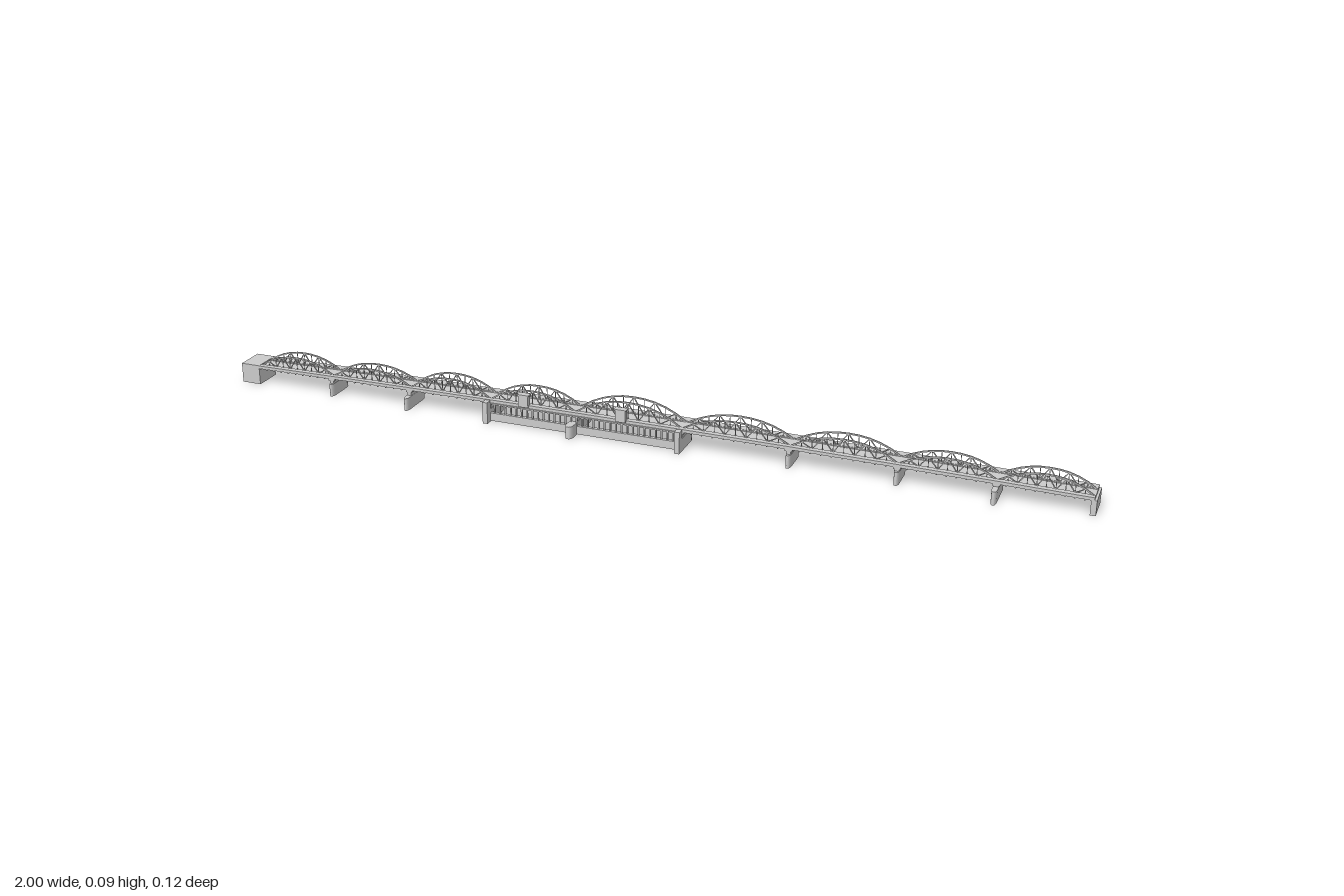
import * as THREE from 'three';
import { mergeGeometries } from 'three/addons/utils/BufferGeometryUtils.js';

const mat = new THREE.MeshStandardMaterial({ color: 0xcccccc, flatShading: true });
const Z_BACK = -0.038, Z_FRONT = 0.03, TRUSS_Z = 0.0175;

// deck surface: slightly humped, lower at the +x end
const deckY = x => 0.049 - 0.003 * x - 0.008 * x * x;

function add(parent, geo, name) {
  const m = new THREE.Mesh(geo, mat);
  m.name = name;
  parent.add(m);
  return m;
}

function box(x0, x1, y0, y1, z0, z1) {
  return new THREE.BoxGeometry(x1 - x0, y1 - y0, z1 - z0)
    .translate((x0 + x1) / 2, (y0 + y1) / 2, (z0 + z1) / 2);
}

// bar between two points in a plane of constant z
function bar(x0, y0, x1, y1, z, t, w = t) {
  return new THREE.BoxGeometry(Math.hypot(x1 - x0, y1 - y0) + t * 0.5, t, w)
    .rotateZ(Math.atan2(y1 - y0, x1 - x0))
    .translate((x0 + x1) / 2, (y0 + y1) / 2, z);
}

// box following the deck line between two x positions
function slab(x0, x1, top, bottom, z0, z1) {
  const g = new THREE.BoxGeometry(x1 - x0, 1, z1 - z0).translate((x0 + x1) / 2, 0, (z0 + z1) / 2);
  const p = g.attributes.position;
  for (let i = 0; i < p.count; i++) p.setY(i, deckY(p.getX(i)) + (p.getY(i) > 0 ? top : bottom));
  g.computeVertexNormals();
  return g;
}

// wall with rounded noses, extruded upwards from the water
function pierWall(x, w, z0, z1, y1) {
  const r = w / 2, s = new THREE.Shape(), nose = 0.012;
  s.moveTo(-r, -z1 + nose);
  s.lineTo(-r, -z0 - nose);
  s.quadraticCurveTo(-r * 0.8, -z0, 0, -z0);
  s.quadraticCurveTo(r * 0.8, -z0, r, -z0 - nose);
  s.lineTo(r, -z1 + nose);
  s.quadraticCurveTo(r * 0.8, -z1, 0, -z1);
  s.quadraticCurveTo(-r * 0.8, -z1, -r, -z1 + nose);
  return new THREE.ExtrudeGeometry(s, { depth: y1, bevelEnabled: false, curveSegments: 6 })
    .rotateX(-Math.PI / 2).translate(x, 0, 0);
}

// one bowed truss: curved upper chord, lower chord, posts and zigzag diagonals
function trussGeometry(x0, x1, crown, z) {
  const n = 10, parts = [], pts = [];
  for (let i = 0; i <= n; i++) {
    const t = i / n, x = x0 + (x1 - x0) * t, u = Math.abs(2 * t - 1);
    const base = deckY(x);
    pts.push({ x, lo: base, hi: base + (crown - base - 0.0015) * (1 - Math.pow(u, 2.2)) });
  }
  for (let i = 0; i < n; i++) {
    const a = pts[i], b = pts[i + 1];
    parts.push(bar(a.x, a.hi, b.x, b.hi, z, 0.003, 0.0035));
    parts.push(bar(a.x, a.lo, b.x, b.lo, z, 0.003, 0.0035));
    if (i > 0) parts.push(bar(a.x, a.lo, a.x, a.hi, z, 0.0014));
    if (i > 0 && i < n - 1) {
      parts.push(i % 2 ? bar(a.x, a.hi, b.x, b.lo, z, 0.002) : bar(a.x, a.lo, b.x, b.hi, z, 0.002));
    }
  }
  return mergeGeometries(parts);
}

export function createModel() {
  const model = new THREE.Group();
  model.name = 'bridge';
  const ends = [-0.953, -0.757, -0.553, -0.35, -0.142, 0.11, 0.355, 0.59, 0.797, 0.995];
  const crowns = [0.077, 0.077, 0.083, 0.083, 0.09, 0.082, 0.08, 0.073, 0.071];

  // spans
  crowns.forEach((crown, i) => {
    const x0 = ends[i], x1 = ends[i + 1], span = new THREE.Group();
    span.name = 'span' + (i + 1);
    model.add(span);
    add(span, slab(x0, x1, 0, -0.004, Z_BACK, Z_FRONT), 'deck');
    const girders = [-TRUSS_Z, -0.006, 0.006, TRUSS_Z]
      .map(z => slab(x0, x1, -0.003, -0.009, z - 0.0012, z + 0.0012));
    for (let k = 0; k <= 10; k++) {
      const x = Math.min(Math.max(x0 + (x1 - x0) * k / 10, x0 + 0.001), x1 - 0.001);
      girders.push(box(x - 0.001, x + 0.001, deckY(x) - 0.008, deckY(x) - 0.003, Z_BACK + 0.001, Z_FRONT - 0.001));
    }
    add(span, mergeGeometries(girders), 'floorBeams');
    add(span, slab(x0, x1, 0.002, -0.005, Z_BACK, -TRUSS_Z - 0.002), 'backFootway');
    add(span, slab(x0, x1, 0.002, -0.005, TRUSS_Z + 0.002, Z_FRONT), 'frontFootway');
    for (const s of [-1, 1]) {
      add(span, trussGeometry(x0 + 0.002, x1 - 0.002, crown, s * TRUSS_Z), s > 0 ? 'frontTruss' : 'backTruss');
    }
  });

  // piers: x, front nose z, back nose z, height of the projecting nose
  const piers = [
    [-0.757, 0.036, -0.04, 0.03], [-0.553, 0.05, -0.04, 0.03],
    [-0.35, 0.05, -0.04, 0.03], [-0.142, 0.063, -0.062, 0.029],
    [0.11, 0.05, -0.04, 0.03], [0.355, 0.036, -0.04, 0.03],
    [0.59, 0.036, -0.04, 0.03], [0.797, 0.056, -0.04, 0.03],
  ];
  for (const [x, zf, zb, h] of piers) {
    const pier = new THREE.Group();
    pier.name = 'pier';
    model.add(pier);
    const w = x === -0.142 ? 0.018 : 0.012;
    add(pier, pierWall(x, w, zb, zf, h), 'pierBase');
    add(pier, box(x - w * 0.42, x + w * 0.42, h, deckY(x) - 0.004, Z_BACK + 0.003, Z_FRONT - 0.002), 'pierShaft');
    add(pier, box(x - 0.008, x + 0.008, deckY(x) - 0.01, deckY(x) - 0.004, Z_BACK + 0.002, Z_FRONT - 0.001), 'pierCap');
  }

  // tall posts on the noses that hold the fender
  for (const x of [-0.35, 0.11]) add(model, box(x - 0.006, x + 0.006, 0, 0.051, 0.033, 0.05), 'fenderEndPost');

  // abutments
  add(model, box(-1, -0.953, 0, 0.047, Z_BACK, Z_FRONT), 'abutment');
  add(model, box(0.988, 1, 0, deckY(1) - 0.004, Z_BACK, Z_FRONT), 'endPier');

  // fender along the two middle spans: low beam, thin rail and posts
  const fender = new THREE.Group();
  fender.name = 'fender';
  model.add(fender);
  add(fender, box(-0.35, 0.11, 0.002, 0.021, 0.025, 0.034), 'fenderBeam');
  add(fender, box(-0.35, 0.11, 0.041, 0.044, 0.026, 0.033), 'fenderRail');
  const posts = [];
  for (let i = 0; i <= 34; i++) {
    const x = -0.348 + 0.456 * i / 34;
    posts.push(box(x - 0.0016, x + 0.0016, 0.02, 0.042, 0.028, 0.032));
  }
  add(fender, mergeGeometries(posts), 'fenderPosts');

  // small control cabins beside the front truss
  for (const x of [-0.262, -0.028]) {
    const cabin = new THREE.Group();
    cabin.name = 'cabin';
    model.add(cabin);
    add(cabin, box(x - 0.012, x + 0.012, 0.047, 0.074, 0.022, 0.035), 'cabinWalls');
    add(cabin, box(x - 0.014, x + 0.014, 0.074, 0.077, 0.0205, 0.0365), 'cabinRoof');
  }
  return model;
}
